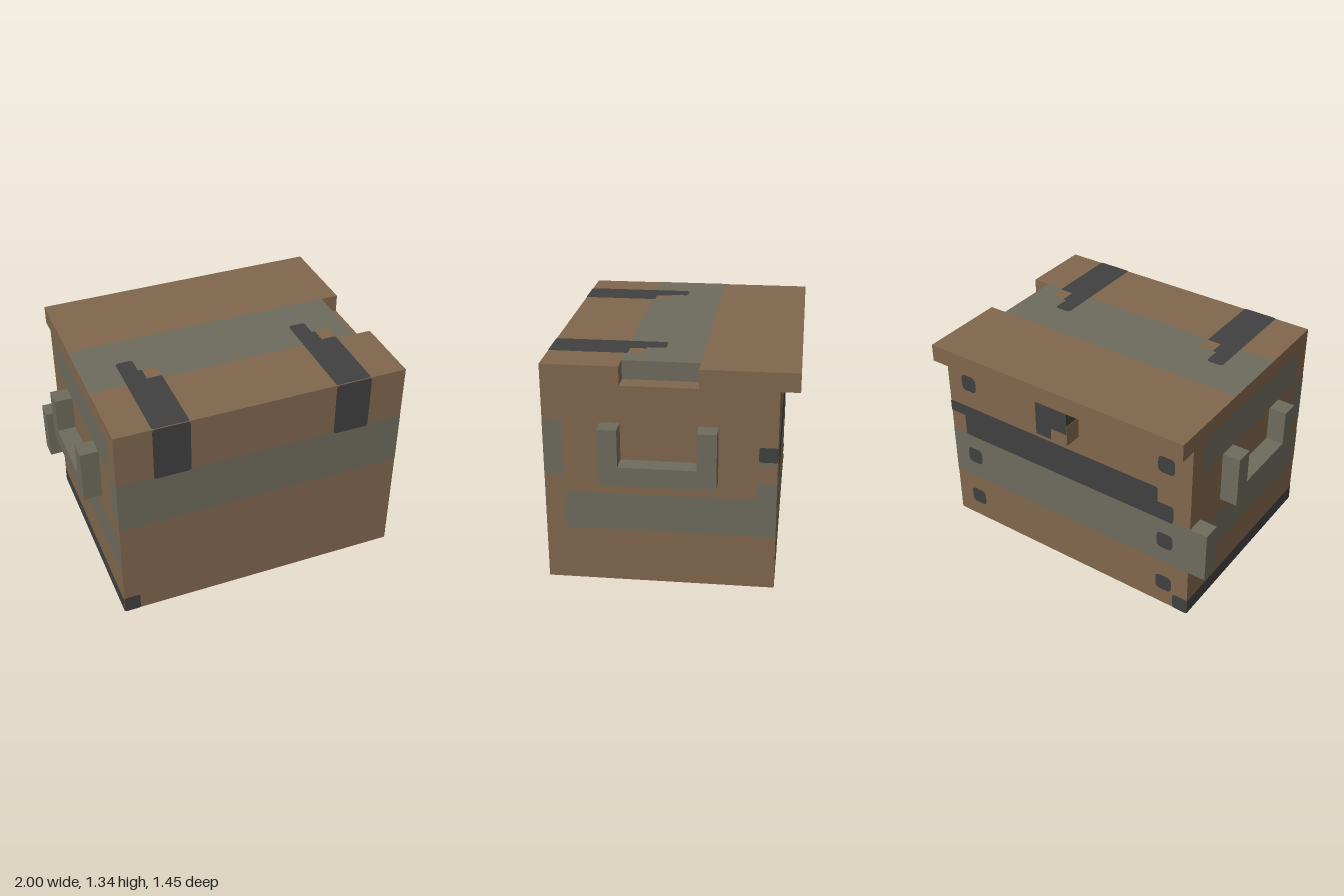
import * as THREE from 'three';

const U = 1 / 9; // all sizes below are in ninths

export function createModel() {
  const root = new THREE.Group();
  root.name = 'crate';
  const material = (name, color) => {
    const m = new THREE.MeshStandardMaterial({ color });
    m.name = name;
    return m;
  };
  const wood = material('brown wood', 0x80664d);
  const band = material('grey band', 0x6e6a5d);
  const iron = material('dark iron', 0x404040);

  const add = (name, geometry, mat, parent = root) => {
    const mesh = new THREE.Mesh(geometry, mat);
    mesh.name = name;
    parent.add(mesh);
    return mesh;
  };
  const box = (name, mat, [x0, x1], [y0, y1], [z0, z1], parent) => {
    const g = new THREE.BoxGeometry((x1 - x0) * U, (y1 - y0) * U, (z1 - z0) * U);
    g.translate((x0 + x1) / 2 * U, (y0 + y1) / 2 * U, (z0 + z1) / 2 * U);
    return add(name, g, mat, parent);
  };

  // Painted patch: a rectangle with softened corners lying just above a face
  const faces = {
    front: { rot: [0, 0, 0], at: (a, b, o) => [a, b, 6.5 + o] },
    back: { rot: [0, Math.PI, 0], at: (a, b, o) => [a, b, -5.5 - o] },
    plusX: { rot: [0, Math.PI / 2, 0], at: (a, b, o) => [8 + o, b, a] },
    minusX: { rot: [0, -Math.PI / 2, 0], at: (a, b, o) => [-8 - o, b, a] },
    top: { rot: [-Math.PI / 2, 0, 0], at: (a, b, o) => [a, 12 + o, b] },
    bottom: { rot: [Math.PI / 2, 0, 0], at: (a, b, o) => [a, -o, b] },
    latch: { rot: [0, Math.PI, 0], at: (a, b, o) => [a, b, -6.5 - o] },
  };
  const paint = (name, mat, face, [a0, a1], [b0, b1], layer = 1, r = 0) => {
    const w = (a1 - a0) / 2 * U, h = (b1 - b0) / 2 * U, c = r * U;
    const s = new THREE.Shape();
    if (c > 0) {
      s.moveTo(-w + c, -h).lineTo(w - c, -h).quadraticCurveTo(w, -h, w, -h + c);
      s.lineTo(w, h - c).quadraticCurveTo(w, h, w - c, h);
      s.lineTo(-w + c, h).quadraticCurveTo(-w, h, -w, h - c);
      s.lineTo(-w, -h + c).quadraticCurveTo(-w, -h, -w + c, -h);
    } else {
      s.moveTo(-w, -h).lineTo(w, -h).lineTo(w, h).lineTo(-w, h).closePath();
    }
    const mesh = add(name, new THREE.ShapeGeometry(s, 4), mat);
    const f = faces[face];
    mesh.rotation.set(...f.rot);
    const p = f.at((a0 + a1) / 2, (b0 + b1) / 2, layer * 0.018);
    mesh.position.set(p[0] * U, p[1] * U, p[2] * U);
  };

  // Body, and lid with a back lip and a notch on one side
  box('body', wood, [-8, 8], [0, 11], [-5.5, 6.5]);
  const outline = [[-8, -6.5], [8, -6.5], [8, -2.5], [7, -2.5], [7, 1.5], [8, 1.5], [8, 6.5], [-8, 6.5]];
  const lidShape = new THREE.Shape(outline.map(([x, y]) => new THREE.Vector2(x * U, y * U)));
  const lid = new THREE.ExtrudeGeometry(lidShape, { depth: U, bevelEnabled: false });
  lid.rotateX(-Math.PI / 2).translate(0, 11 * U, 0);
  add('lid', lid, wood);
  box('notchWall', band, [6.99, 7.02], [11, 12], [-1.5, 2.5]);

  // U-shaped handle on each side
  for (const [name, x] of [['leftHandle', [8, 9]], ['rightHandle', [-9, -8]]]) {
    const handle = new THREE.Group();
    handle.name = name;
    box('grip', band, x, [6, 7], [-2.5, 3.5], handle);
    box('frontPost', band, x, [7, 9], [2.5, 3.5], handle);
    box('backPost', band, x, [7, 9], [-2.5, -1.5], handle);
    root.add(handle);
  }

  // Side block and back latch
  box('sideBlock', band, [-9, -8], [3, 6], [-5.5, -4.5]);
  box('latch', iron, [-1, 1], [9, 11], [-6.5, -5.5]);
  paint('latchPatch', wood, 'latch', [-1, 0], [9, 9.7]);
  box('latchSide', wood, [-1.03, -1], [9, 10.2], [-6.5, -5.5]);

  // Front and top: band, two straps with stepped tips
  paint('frontBand', band, 'front', [-8, 8], [6, 9]);
  paint('topBand', band, 'top', [-8, 7], [-1.5, 2.5]);
  paint('frontCorner', iron, 'front', [-8, -7.1], [0, 1], 1, 0.1);
  for (const x of [-6, 4]) {
    paint('frontStrap', iron, 'front', [x, x + 2], [8.9, 12], 2, 0.2);
    paint('strapTop', iron, 'top', [x, x + 1.97], [2.35, 6.5], 2, 0.1);
    paint('strapTip', iron, 'top', [x, x + 0.95], [0.5, 2.5], 2, 0.2);
    paint('strapStep', iron, 'top', [x + 0.8, x + 1.15], [1.5, 2.4], 2);
    paint('strapPatch', wood, 'top', [x + 1.15, x + 1.97], [1.5, 2.35], 2);
  }

  // Sides
  paint('sideBand', band, 'plusX', [-5.5, 5.5], [3, 5.07], 1, 0.1);
  paint('sideBandEnd', band, 'plusX', [-5.5, -4.5], [5, 6], 1);
  paint('bandReturn', band, 'plusX', [5.5, 6.5], [6, 9], 1);
  paint('darkReturn', iron, 'plusX', [-5.5, -4.55], [7.2, 8], 2, 0.1);
  paint('darkReturnEdge', band, 'plusX', [-5.5, -4.55], [7, 7.2], 1);
  paint('sideBand', band, 'minusX', [-5.5, 6.5], [3, 5.07], 1);
  paint('upperSideBand', band, 'minusX', [-4.5, 5.5], [9, 11], 1, 0.1);
  paint('bandReturn', band, 'minusX', [5.5, 6.5], [6, 9], 1);
  paint('sideSkirt', iron, 'minusX', [-5.5, 6.5], [0, 0.9], 1);
  paint('bottomEdge', iron, 'bottom', [-8, -7.1], [-5.5, 6.5], 1);

  // Back: grey band, dark band with stepped ends, rivets
  paint('backBand', band, 'back', [-8, 8], [3, 6]);
  paint('darkBand', iron, 'back', [-6, 7], [5.9, 7.9], 2, 0.15);
  paint('darkBandEnd', iron, 'back', [-7, -5.8], [5.9, 7], 2, 0.2);
  paint('darkBandTab', iron, 'back', [6.8, 8], [7.2, 7.9], 2, 0.1);
  paint('backCorner', iron, 'back', [-8, -7.1], [0, 0.95], 1, 0.1);
  for (const x of [-7, 6]) {
    for (const y of [1, 4, 9]) {
      paint('rivet', iron, 'back', [x, x + 1], [y, y + 1], 2, 0.3);
    }
  }
  return root;
}
